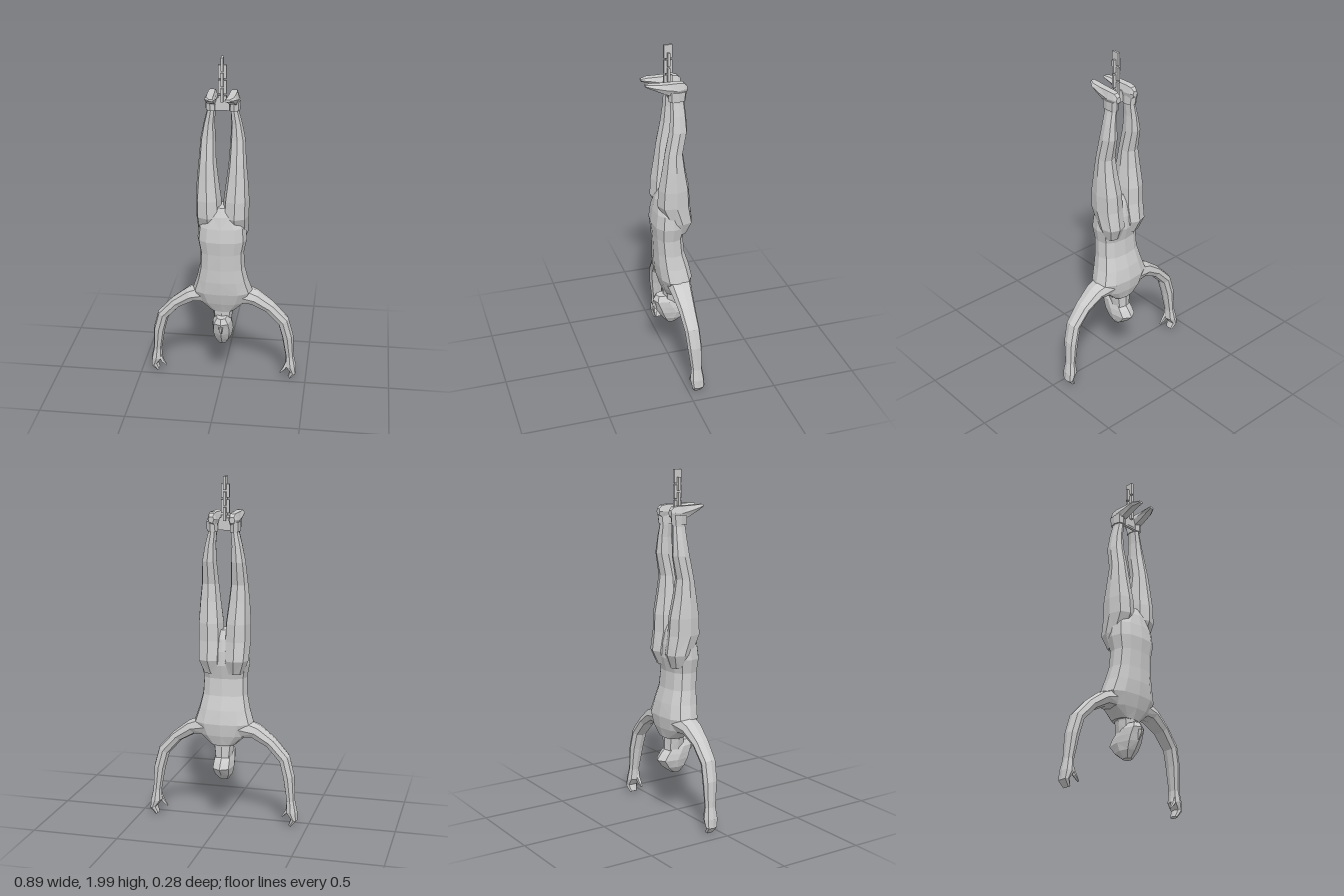
import * as THREE from 'three';

const material = new THREE.MeshStandardMaterial({ color: 0xcccccc, flatShading: true });

function addMesh(parent, name, geometry) {
  const mesh = new THREE.Mesh(geometry, material);
  mesh.name = name;
  parent.add(mesh);
  return mesh;
}

// Skin over cross-sections listed top to bottom: [x, y, z, halfWidth, halfDepth, tilt in degrees].
// side = -1 mirrors the result; square < 1 makes the section boxier.
function loft(rings, { sides = 8, side = 1, square = 0.85 } = {}) {
  const pos = [], index = [];
  const bend = (v) => Math.sign(v) * Math.abs(v) ** square;
  for (const [x, y, z, a, b, tilt = 0] of rings) {
    const r = THREE.MathUtils.degToRad(tilt);
    for (let j = 0; j < sides; j++) {
      const t = (j / sides) * Math.PI * 2;
      const u = bend(Math.cos(t)) * a, v = bend(Math.sin(t)) * b;
      pos.push((x + u * Math.cos(r)) * side, y + u * Math.sin(r), z + v);
    }
  }
  const tri = (a, b, c) => (side > 0 ? index.push(a, b, c) : index.push(a, c, b));
  const last = rings.length - 1;
  for (let i = 0; i < last; i++) {
    for (let j = 0; j < sides; j++) {
      const k = (j + 1) % sides;
      const a = i * sides + j, b = i * sides + k, c = a + sides, d = b + sides;
      if ((i + j) % 2) { tri(a, b, d); tri(a, d, c); } else { tri(a, b, c); tri(b, d, c); }
    }
  }
  for (let j = 1; j < sides - 1; j++) {
    tri(0, j + 1, j);
    tri(last * sides, last * sides + j, last * sides + j + 1);
  }
  const geometry = new THREE.BufferGeometry();
  geometry.setAttribute('position', new THREE.Float32BufferAttribute(pos, 3));
  geometry.setIndex(index);
  const flat = geometry.toNonIndexed();
  flat.computeVertexNormals();
  return flat;
}

// Section on the centre line: [y, halfWidth, front z, back z]
const centred = (rows) => rows.map(([y, w, f, b]) => [0, y, (f + b) / 2, w, (f - b) / 2]);

function buildLeg(side) {
  const leg = new THREE.Group();
  leg.name = side > 0 ? 'leftLeg' : 'rightLeg';
  addMesh(leg, 'legAndButtock', loft([
    [0.066, 1.76, -0.04, 0.022, 0.035],
    [0.066, 1.69, -0.033, 0.024, 0.04],
    [0.077, 1.62, -0.035, 0.031, 0.044],
    [0.084, 1.53, -0.033, 0.042, 0.052],
    [0.085, 1.40, -0.008, 0.05, 0.052],
    [0.084, 1.30, -0.008, 0.061, 0.067],
    [0.08, 1.18, -0.01, 0.073, 0.09],
    [0.077, 1.08, -0.01, 0.075, 0.095],
    [0.076, 0.97, -0.045, 0.07, 0.075],
    [0.065, 0.89, -0.045, 0.05, 0.04],
  ], { side }));
  // Foot runs toe to heel, then is laid along z
  const foot = [
    [0.045, 0.14, 1.797, 0.016, 0.007],
    [0.057, 0.10, 1.791, 0.03, 0.016],
    [0.06, 0.04, 1.776, 0.031, 0.03],
    [0.062, -0.03, 1.763, 0.03, 0.045],
    [0.06, -0.07, 1.767, 0.025, 0.036],
    [0.06, -0.088, 1.765, 0.016, 0.018],
  ].map(([x, z, y, a, b]) => [x, z, -y, a, b]);
  addMesh(leg, 'foot', loft(foot, { side, sides: 6, square: 0.7 }).rotateX(Math.PI / 2));
  addMesh(leg, 'ankleCuff', loft([
    [0.068, 1.752, -0.034, 0.031, 0.052, 6],
    [0.066, 1.698, -0.032, 0.031, 0.048, 6],
  ], { side }));
  return leg;
}

function buildArm(side) {
  const arm = new THREE.Group();
  arm.name = side > 0 ? 'leftArm' : 'rightArm';
  addMesh(arm, 'armAndHand', loft([
    [0.09, 0.575, -0.035, 0.065, 0.075, 75],
    [0.19, 0.552, -0.028, 0.043, 0.062, 58],
    [0.28, 0.492, -0.03, 0.034, 0.05, 45],
    [0.36, 0.403, -0.035, 0.035, 0.044, 30],
    [0.387, 0.30, -0.042, 0.034, 0.042, 12],
    [0.402, 0.16, -0.05, 0.025, 0.032, 3],
    [0.408, 0.095, -0.052, 0.034, 0.042, 0],
    [0.424, 0.05, -0.055, 0.02, 0.037, -15],
    [0.402, 0.012, -0.055, 0.01, 0.025, -25],
  ], { side }));
  addMesh(arm, 'thumb', loft([
    [0.392, 0.12, -0.04, 0.014, 0.016, -30],
    [0.372, 0.08, -0.032, 0.011, 0.013, -30],
    [0.347, 0.05, -0.03, 0.004, 0.006, -30],
  ], { side, sides: 5 }));
  return arm;
}

export function createModel() {
  const model = new THREE.Group();
  model.name = 'hangingFigure';

  addMesh(model, 'torso', loft(centred([
    [1.14, 0.03, 0.055, -0.05],
    [1.09, 0.08, 0.078, -0.075],
    [1.02, 0.135, 0.092, -0.09],
    [0.94, 0.143, 0.102, -0.095],
    [0.86, 0.127, 0.092, -0.076],
    [0.76, 0.132, 0.086, -0.085],
    [0.68, 0.15, 0.085, -0.11],
    [0.60, 0.176, 0.076, -0.126],
    [0.53, 0.14, 0.055, -0.118],
    [0.47, 0.075, 0.03, -0.1],
  ]), { sides: 12, square: 0.8 }));

  // Neck and head, crown downward
  addMesh(model, 'neck', loft(centred([
    [0.53, 0.085, 0.03, -0.105],
    [0.46, 0.06, 0.03, -0.088],
    [0.39, 0.05, 0.03, -0.09],
  ])));
  addMesh(model, 'head', loft(centred([
    [0.442, 0.032, 0.075, -0.03],
    [0.41, 0.055, 0.093, -0.075],
    [0.37, 0.061, 0.08, -0.115],
    [0.335, 0.062, 0.07, -0.14],
    [0.29, 0.052, 0.042, -0.1],
    [0.25, 0.025, 0.01, -0.045],
  ])));
  addMesh(model, 'nose', loft(centred([
    [0.395, 0.014, 0.102, 0.06],
    [0.375, 0.011, 0.098, 0.06],
    [0.34, 0.006, 0.074, 0.05],
  ]), { sides: 6 }));

  for (const side of [1, -1]) model.add(buildLeg(side), buildArm(side));

  // Plate joining the cuffs, then crossed chain links up to the top
  addMesh(model, 'cuffPlate', new THREE.BoxGeometry(0.08, 0.07, 0.016)).position.set(0, 1.735, -0.004);
  for (let i = 0; i < 6; i++) {
    const link = addMesh(model, 'chainLink', new THREE.BoxGeometry(0.048, 0.075, 0.014));
    link.position.y = 1.9625 - i * 0.043;
    link.rotation.y = i % 2 ? 0 : Math.PI / 2;
  }
  return model;
}
